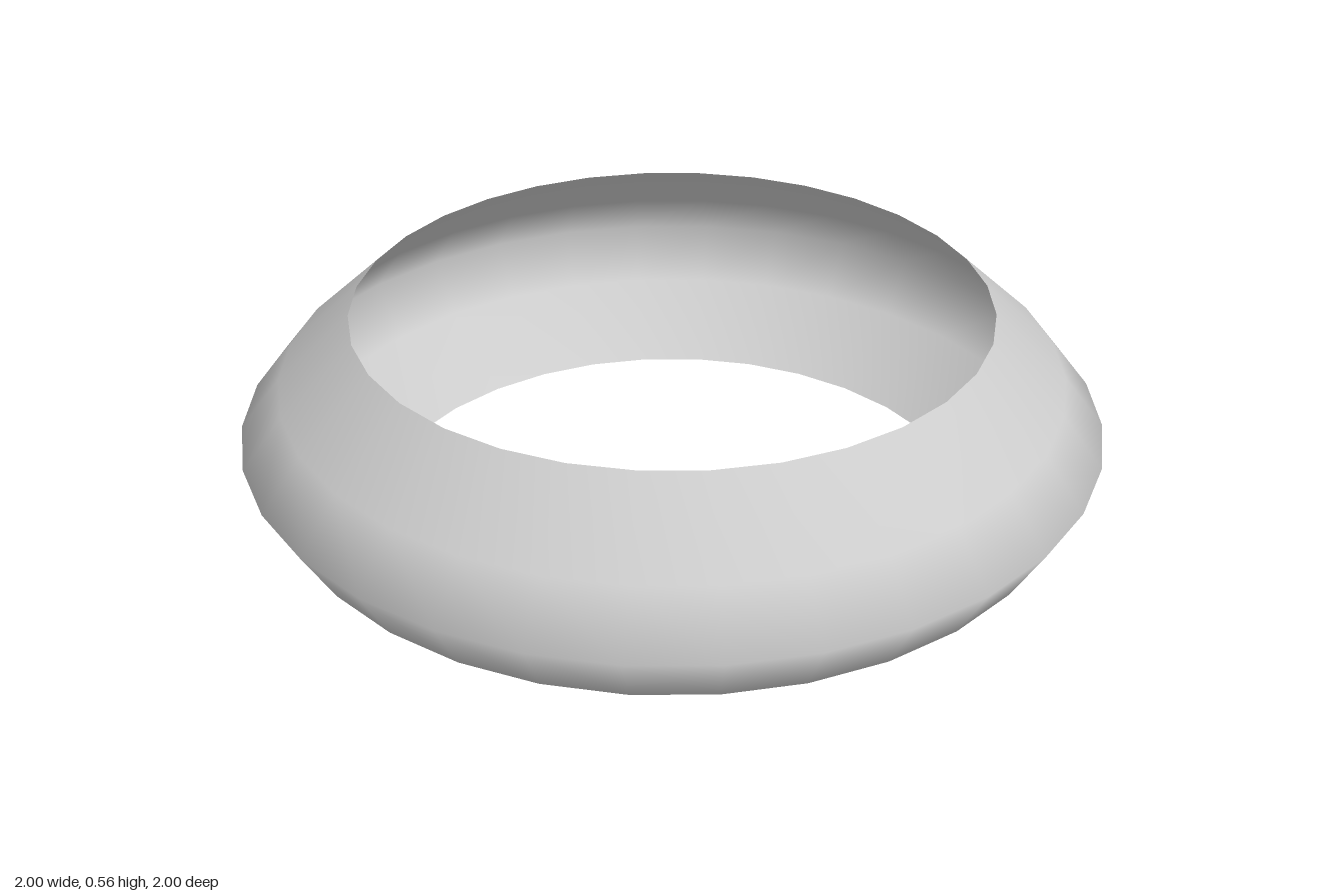
import * as THREE from 'three';

export function createModel() {
  const group = new THREE.Group();
  group.name = 'ring';

  // Open, thin band: outward-bulging profile turned around the y axis
  const profile = [
    [0.735, 0],
    [0.925, 0.15],
    [1, 0.28],
    [0.905, 0.4],
    [0.735, 0.555],
  ].map(([r, y]) => new THREE.Vector2(r, y));

  const band = new THREE.Mesh(
    new THREE.LatheGeometry(profile, 32),
    new THREE.MeshStandardMaterial({ color: 0xcccccc, side: THREE.DoubleSide })
  );
  band.name = 'band';
  group.add(band);
  return group;
}
